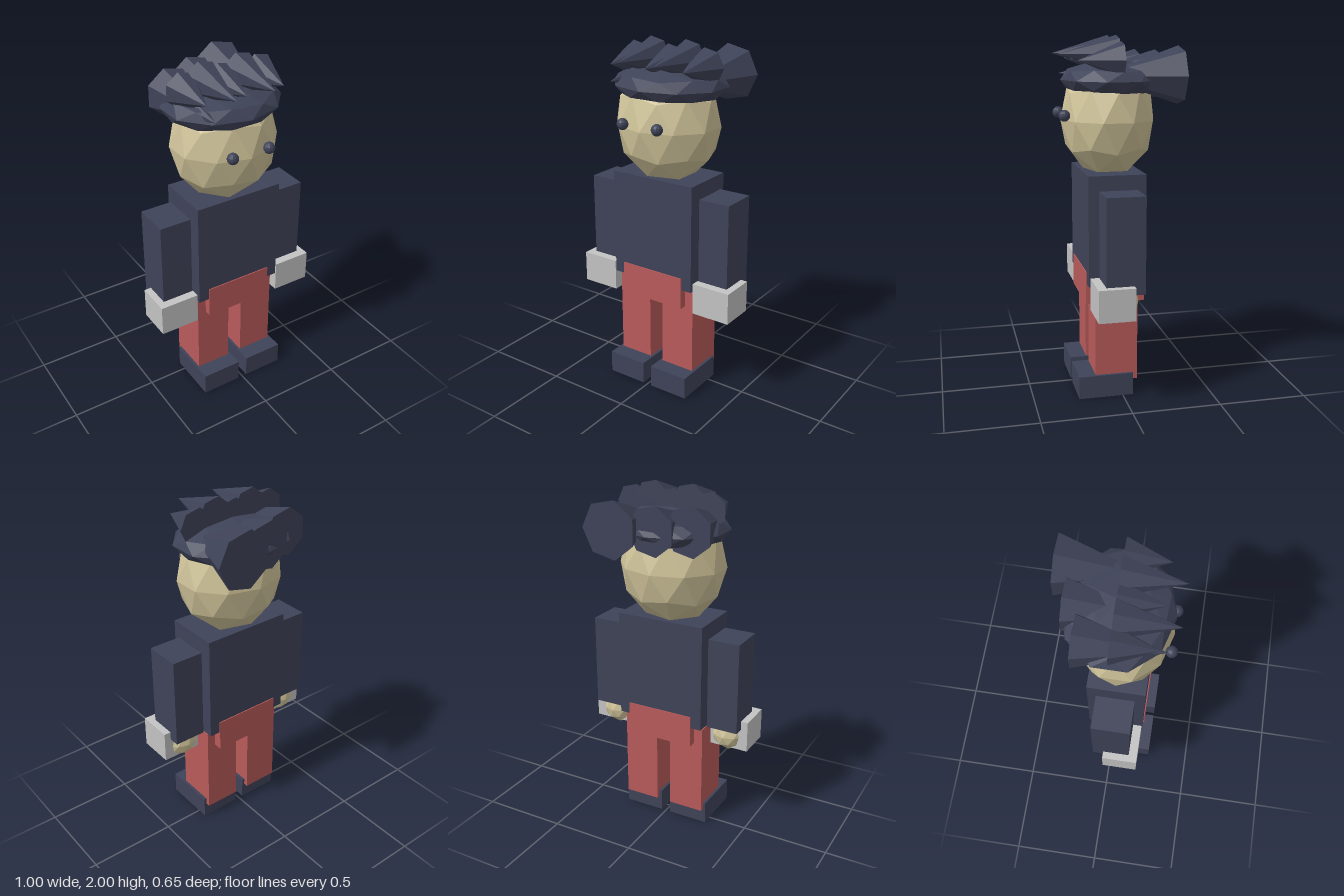
import * as THREE from 'three';

const mat = (name, color, flat = true) => {
  const m = new THREE.MeshStandardMaterial({ color, flatShading: flat });
  m.name = name;
  return m;
};

export function createModel() {
  const root = new THREE.Group();
  root.name = 'blockyFigure';
  const navy = mat('navy', 0x3f4358);
  const red = mat('red', 0xb95a5a);
  const grey = mat('grey', 0xc2c3c2);
  const skin = mat('skin', 0xcfc399);

  const add = (name, geo, material) => {
    const mesh = new THREE.Mesh(geo, material);
    mesh.name = name;
    root.add(mesh);
    return mesh;
  };

  // Box given by its extents on each axis
  const box = (name, material, [x0, x1], [y0, y1], [z0, z1]) => {
    const g = new THREE.BoxGeometry(x1 - x0, y1 - y0, z1 - z0);
    g.translate((x0 + x1) / 2, (y0 + y1) / 2, (z0 + z1) / 2);
    return add(name, g, material);
  };

  // Faceted ball with its poles on the y axis
  const ball = (name, material, [x, y, z], [rx, ry, rz]) => {
    const g = new THREE.IcosahedronGeometry(1, 1);
    g.rotateX(-Math.atan((1 + Math.sqrt(5)) / 2));
    g.rotateY(Math.PI / 2);
    g.scale(rx, ry, rz);
    g.translate(x, y, z);
    return add(name, g, material);
  };

  // Seven-sided hair spike, base at z, pointing forward
  const spike = (name, x, y, z, r, length) => {
    const g = new THREE.ConeGeometry(r, length, 7, 1, false, Math.PI / 2);
    g.rotateX(Math.PI / 2);
    g.translate(x, y, z + length / 2);
    return add(name, g, navy);
  };

  // Body
  box('torso', navy, [-0.262, 0.262], [0.65, 1.265], [-0.13, 0.19]);
  box('pelvis', red, [-0.2, 0.2], [0.535, 0.72], [-0.136, 0.196]);

  // Limbs, mirrored
  for (const [side, s] of [['left', 1], ['right', -1]]) {
    const span = (a, b) => (s > 0 ? [a, b] : [-b, -a]);
    box(side + 'Arm', navy, span(0.276, 0.46), [0.655, 1.185], [-0.078, 0.135]);
    box(side + 'Cuff', grey, span(0.272, 0.5), [0.525, 0.705], [-0.017, 0.185]);
    ball(side + 'Hand', skin, [0.367 * s, 0.597, 0.043], [0.107, 0.103, 0.104]);
    box(side + 'Leg', red, span(0.044, 0.252), [0.09, 0.63], [-0.086, 0.154]);
    box(side + 'Shoe', navy, span(0.028, 0.267), [0, 0.13], [-0.06, 0.25]);
    const eye = new THREE.SphereGeometry(0.032, 12, 8);
    eye.translate(0.112 * s, 1.575, 0.29);
    add(side + 'Eye', eye, navy);
  }

  // Head and hair cap
  ball('head', skin, [0, 1.545, 0.03], [0.305, 0.33, 0.265]);
  ball('hairCap', navy, [0, 1.76, 0.006], [0.335, 0.108, 0.287]);

  // Front spikes: x, y, radius, length
  [
    [-0.23, 1.87, 0.1, 0.235],
    [-0.113, 1.9, 0.102, 0.324],
    [0, 1.87, 0.1, 0.24],
    [0.113, 1.9, 0.102, 0.324],
    [0.23, 1.87, 0.1, 0.235],
  ].forEach(([x, y, r, l], i) => spike('frontSpike' + (i + 1), x, y, 0, r, l));

  // Swept rear spikes: x, z, radius
  [
    [-0.202, -0.183, 0.137],
    [-0.023, -0.257, 0.137],
    [0.184, -0.33, 0.161],
  ].forEach(([x, z, r], i) => spike('rearSpike' + (i + 1), x, 1.787, z, r, 0.455));

  return root;
}
